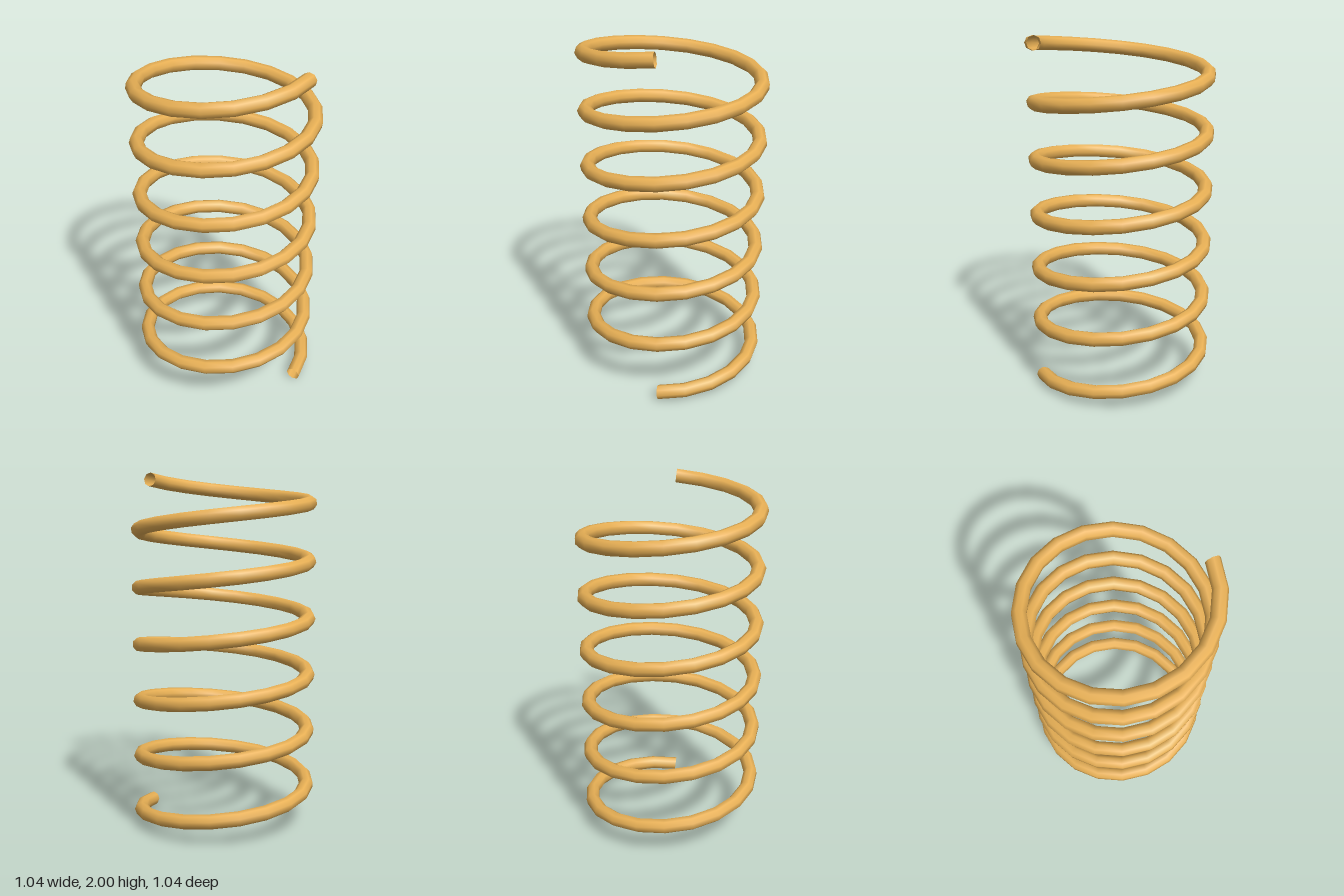
import * as THREE from 'three';

const RADIUS = 0.48, WIRE = 0.04, TURNS = 6, STEPS_PER_TURN = 20, HEIGHT = 2;

// Centre line of the wire: rises anticlockwise seen from above, starting at +x
class Helix extends THREE.Curve {
  getPoint(t, target = new THREE.Vector3()) {
    const a = t * TURNS * Math.PI * 2;
    return target.set(
      RADIUS * Math.cos(a),
      WIRE + t * (HEIGHT - 2 * WIRE),
      -RADIUS * Math.sin(a)
    );
  }
}

export function createModel() {
  const group = new THREE.Group();
  group.name = 'coilSpring';

  // Open-ended wire, so the inside shows at both ends
  const material = new THREE.MeshStandardMaterial({ color: 0xe8b055, side: THREE.DoubleSide });
  const geometry = new THREE.TubeGeometry(new Helix(), TURNS * STEPS_PER_TURN, WIRE, 8, false);
  const coil = new THREE.Mesh(geometry, material);
  coil.name = 'coil';
  group.add(coil);

  return group;
}
